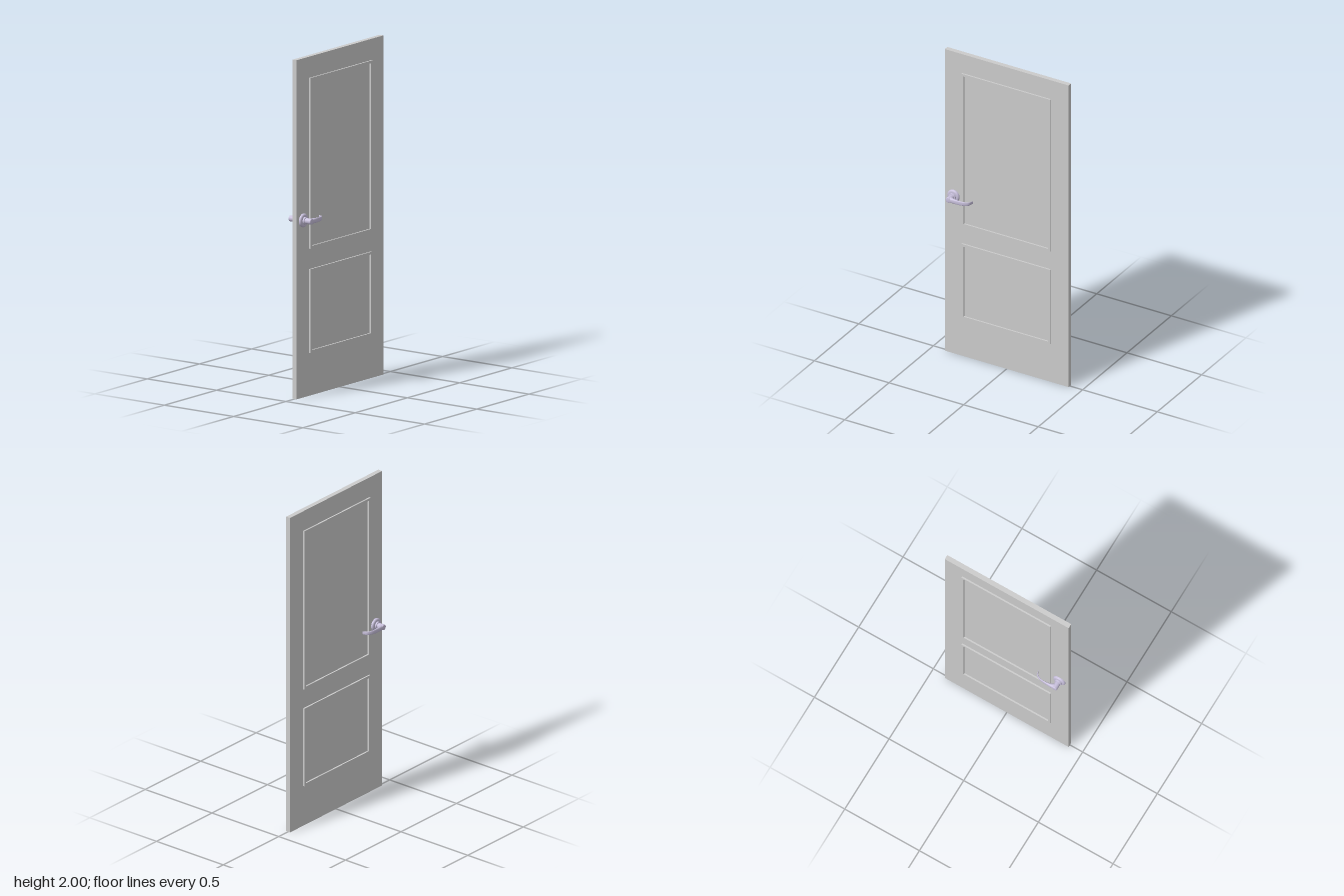
import * as THREE from 'three';

const DOOR = { width: 0.83, height: 2, thick: 0.029 };
const grey = new THREE.MeshStandardMaterial({ color: 0xcccccc });
const metal = new THREE.MeshStandardMaterial({ color: 0xc8c0dc });

function add(parent, name, geometry, material) {
  const mesh = new THREE.Mesh(geometry, material);
  mesh.name = name;
  parent.add(mesh);
  return mesh;
}

// Rectangular moulding that stands proud of both door faces
function mouldingGeometry(bottom, top) {
  const half = 0.298, rim = 0.015, depth = 0.048;
  const rect = (path, w, y0, y1) =>
    path.moveTo(-w, y0).lineTo(w, y0).lineTo(w, y1).lineTo(-w, y1).closePath();
  const shape = rect(new THREE.Shape(), half, bottom, top);
  shape.holes.push(rect(new THREE.Path(), half - rim, bottom + rim, top - rim));
  return new THREE.ExtrudeGeometry(shape, { depth, bevelEnabled: false })
    .translate(0, 0, -depth / 2).rotateY(Math.PI / 2);
}

// Turned part about the x axis; profile is [distance from door centre, radius]
function turned(profile) {
  const pts = profile.map(([x, r]) => new THREE.Vector2(r, x));
  return new THREE.LatheGeometry(pts, 40).rotateZ(-Math.PI / 2);
}

// Lever swept from elliptical sections between its outer and inner edges
function leverGeometry() {
  const curve = (list) => new THREE.CatmullRomCurve3(list.map(([x, z]) => new THREE.Vector3(x, 0, z)));
  const outer = curve([[0.0795, 0.36], [0.0795, 0.33], [0.078, 0.295], [0.072, 0.255], [0.057, 0.229], [0.028, 0.219]]);
  const inner = curve([[0.045, 0.348], [0.059, 0.327], [0.067, 0.295], [0.065, 0.258], [0.053, 0.234], [0.028, 0.222]]);
  const rings = 36, sides = 20, pos = [], index = [];
  for (let i = 0; i <= rings; i++) {
    const t = i / rings, a = outer.getPoint(t), b = inner.getPoint(t);
    const mid = a.clone().add(b).multiplyScalar(0.5);
    const arm = a.clone().sub(mid);
    const h = 0.0165 - 0.007 * t;
    for (let j = 0; j < sides; j++) {
      const q = (j / sides) * Math.PI * 2, c = Math.cos(q), s = Math.sin(q);
      // slightly squared ellipse
      const u = Math.sign(c) * Math.abs(c) ** 0.8, v = Math.sign(s) * Math.abs(s) ** 0.8;
      pos.push(mid.x + arm.x * u, h * v, mid.z + arm.z * u);
      if (i < rings) {
        const k = i * sides + j, n = i * sides + (j + 1) % sides;
        index.push(k, k + sides, n, n, k + sides, n + sides);
      }
    }
  }
  // end caps
  const last = rings * sides;
  for (let j = 1; j < sides - 1; j++) {
    index.push(0, j, j + 1, last, last + j + 1, last + j);
  }
  const g = new THREE.BufferGeometry();
  g.setAttribute('position', new THREE.Float32BufferAttribute(pos, 3));
  g.setIndex(index);
  g.computeVertexNormals();
  return g;
}

function createHandle(name) {
  const handle = new THREE.Group();
  handle.name = name;
  const rose = turned([[0.012, 0.04], [0.019, 0.04], [0.023, 0.0385], [0.026, 0.035], [0.0275, 0.03], [0.028, 0.02], [0.028, 0]]);
  const collar = turned([[0.026, 0.022], [0.036, 0.022], [0.0375, 0.0205], [0.038, 0.016]]);
  const hub = turned([[0.036, 0.0165], [0.05, 0.017], [0.074, 0.0175], [0.0775, 0.0165], [0.0795, 0.014], [0.08, 0]]);
  for (const [part, geometry] of [['rose', rose], ['collar', collar], ['hub', hub]]) {
    add(handle, part, geometry, metal).position.set(0, 1.045, 0.355);
  }
  const lever = add(handle, 'lever', leverGeometry(), metal);
  lever.material = metal.clone();
  lever.material.side = THREE.DoubleSide;
  lever.position.y = 1.045;
  return handle;
}

export function createModel() {
  const model = new THREE.Group();
  model.name = 'door';

  // Slab
  const slab = add(model, 'doorSlab', new THREE.BoxGeometry(DOOR.thick, DOOR.height, DOOR.width), grey);
  slab.position.y = DOOR.height / 2;

  // Panel mouldings
  add(model, 'upperMoulding', mouldingGeometry(0.868, 1.875), grey);
  add(model, 'lowerMoulding', mouldingGeometry(0.253, 0.747), grey);

  // Lever handles, one per face (half a turn about z keeps the winding)
  model.add(createHandle('leftHandle'));
  const right = createHandle('rightHandle');
  right.rotation.z = Math.PI;
  right.position.y = 2 * 1.045;
  model.add(right);
  return model;
}
